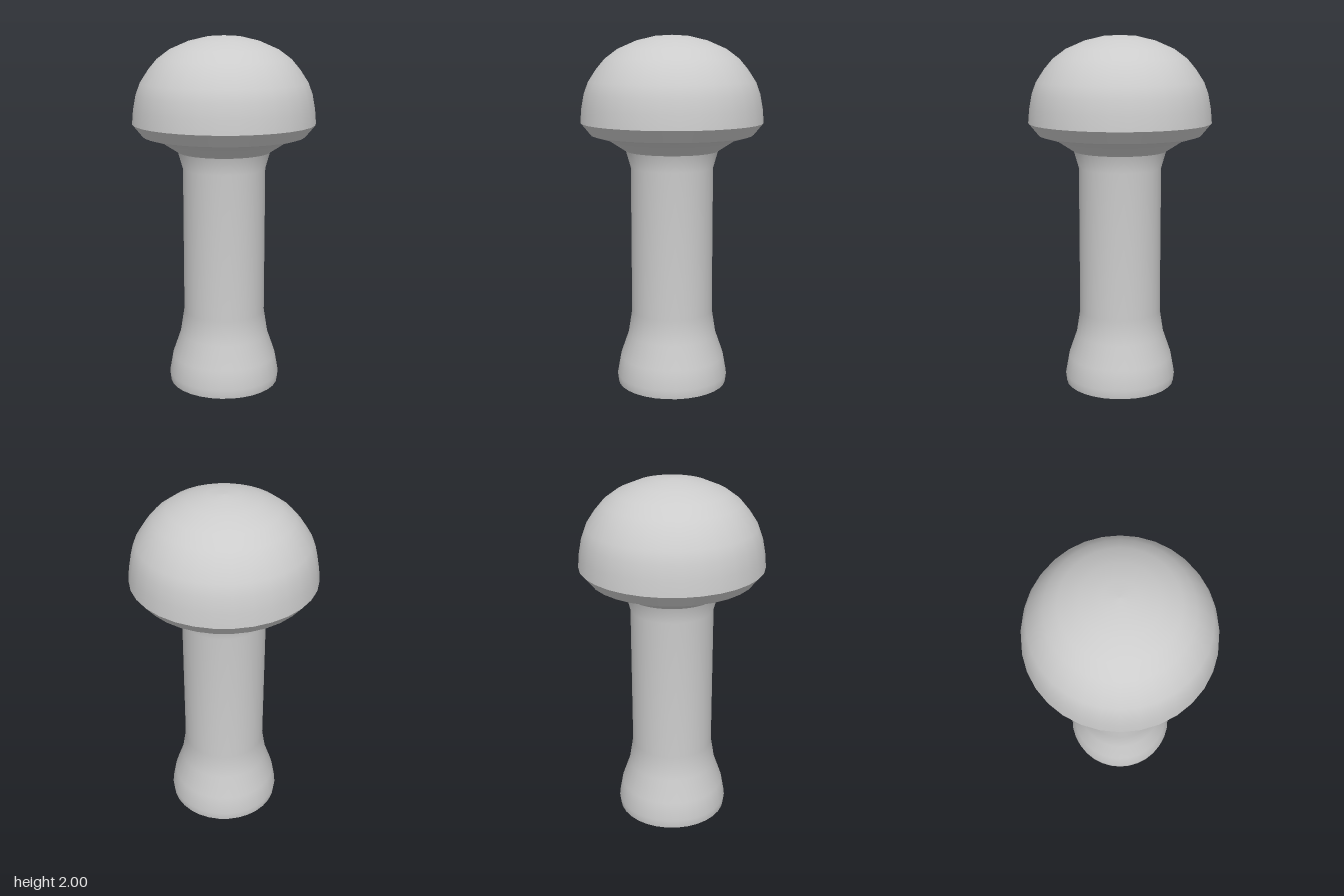
import * as THREE from 'three';

const SIDES = 32;

export function createModel() {
  const group = new THREE.Group();
  group.name = 'mushroom';

  const grey = new THREE.MeshStandardMaterial({ color: 0xcccccc });
  grey.name = 'plain grey';

  // Each smooth band is its own lathe, so the edges between bands stay sharp.
  // Profiles are [radius, height], listed from bottom to top.
  const turn = (name, profile) => {
    const points = profile.map(([r, y]) => new THREE.Vector2(r, y));
    const mesh = new THREE.Mesh(new THREE.LatheGeometry(points, SIDES), grey);
    mesh.name = name;
    group.add(mesh);
  };

  // Flat foot
  turn('stemBase', [[0, 0], [0.314, 0]]);

  // Stem: bulging foot, straight shaft, slight flare under the cap
  turn('stem', [
    [0.314, 0], [0.32, 0.05], [0.3, 0.16], [0.255, 0.29],
    [0.233, 0.43], [0.233, 1.265], [0.26, 1.36],
  ]);

  // Cap: hollow underside, bevelled rim and dome
  turn('capUnderside', [[0.26, 1.36], [0.36, 1.425], [0.457, 1.453]]);
  turn('capRim', [[0.457, 1.453], [0.512, 1.52]]);
  turn('capDome', [
    [0.512, 1.52], [0.505, 1.6], [0.49, 1.68], [0.466, 1.745], [0.42, 1.815],
    [0.372, 1.872], [0.3, 1.925], [0.196, 1.97], [0.09, 1.995], [0, 2],
  ]);

  return group;
}
